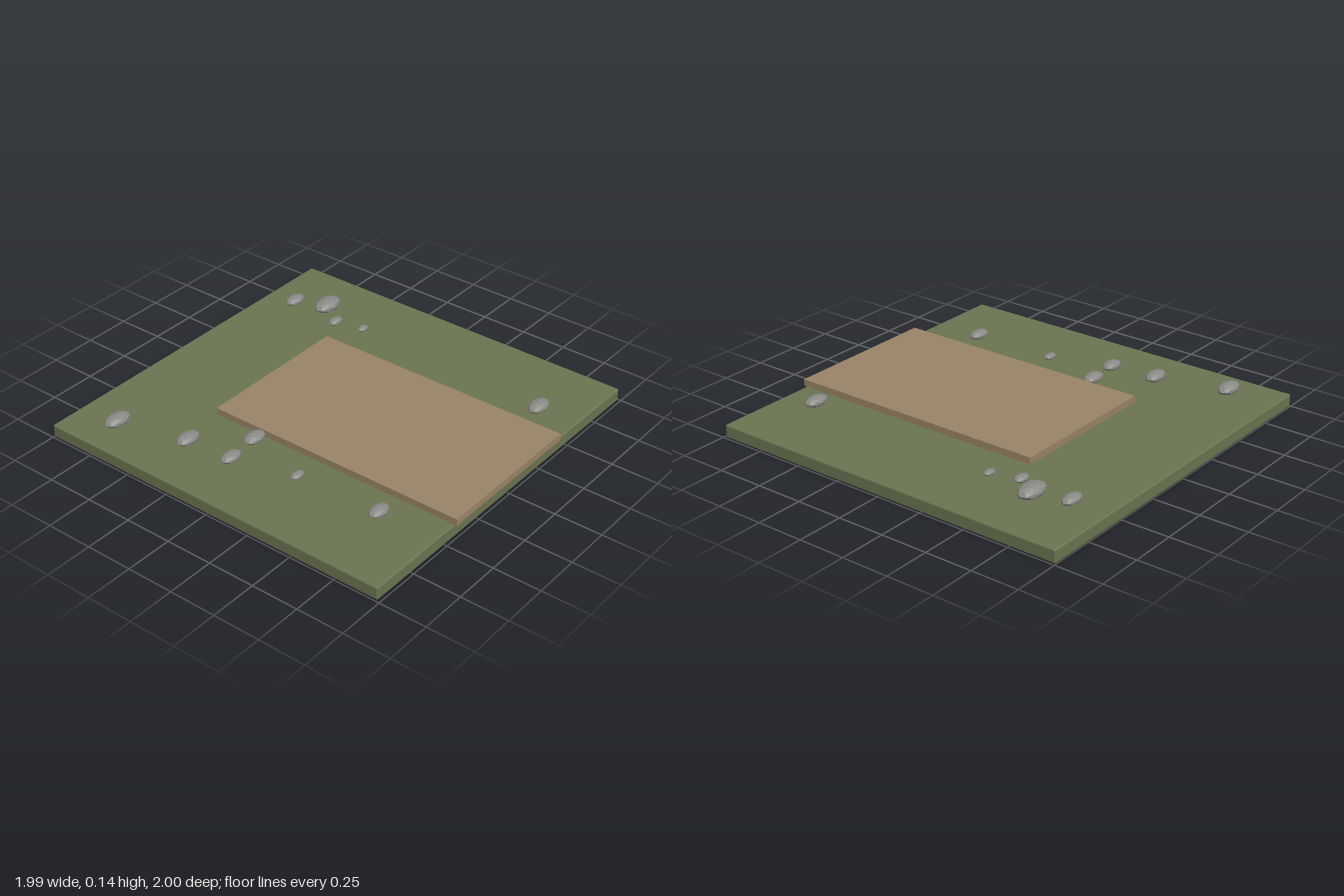
import * as THREE from 'three';
import { RoundedBoxGeometry } from 'three/addons/geometries/RoundedBoxGeometry.js';

export function createModel() {
  const model = new THREE.Group();
  model.name = 'groundTile';

  const material = (name, color) => {
    const m = new THREE.MeshStandardMaterial({ color });
    m.name = name;
    return m;
  };
  const grass = material('grass green', 0x6b7552);
  const dirt = material('dirt brown', 0x9a8468);
  const stone = material('stone grey', 0x8a8a86);
  stone.flatShading = true;

  const add = (name, geometry, mat, x, y, z) => {
    const mesh = new THREE.Mesh(geometry, mat);
    mesh.name = name;
    mesh.position.set(x, y, z);
    model.add(mesh);
    return mesh;
  };

  // Grass slab with softened edges
  add('grassSlab', new RoundedBoxGeometry(1.987, 0.07, 1.987, 2, 0.009), grass, 0, 0.035, -0.0065);

  // Raised dirt path, running slightly past the front edge
  add('dirtPath', new THREE.BoxGeometry(0.858, 0.036, 1.437), dirt, 0, 0.088, 0.2815);

  // Flattened pebbles: x, z, half width
  const pebbles = [
    [-0.8, -0.75, 0.076], [-0.703, -0.377, 0.07], [-0.685, -0.12, 0.062],
    [-0.498, -0.135, 0.066], [-0.597, 0.212, 0.041], [-0.585, 0.68, 0.062],
    [0.624, -0.815, 0.062], [0.681, -0.637, 0.088], [0.593, -0.512, 0.046],
    [0.631, -0.357, 0.035], [0.572, 0.78, 0.07],
  ];
  const pebbleGeometry = new THREE.IcosahedronGeometry(1, 1);
  for (const [x, z, r] of pebbles) {
    const height = r * 0.39;
    add('pebble', pebbleGeometry, stone, x, 0.075 + height, z).scale.set(r, height, r * 0.64);
  }

  return model;
}
